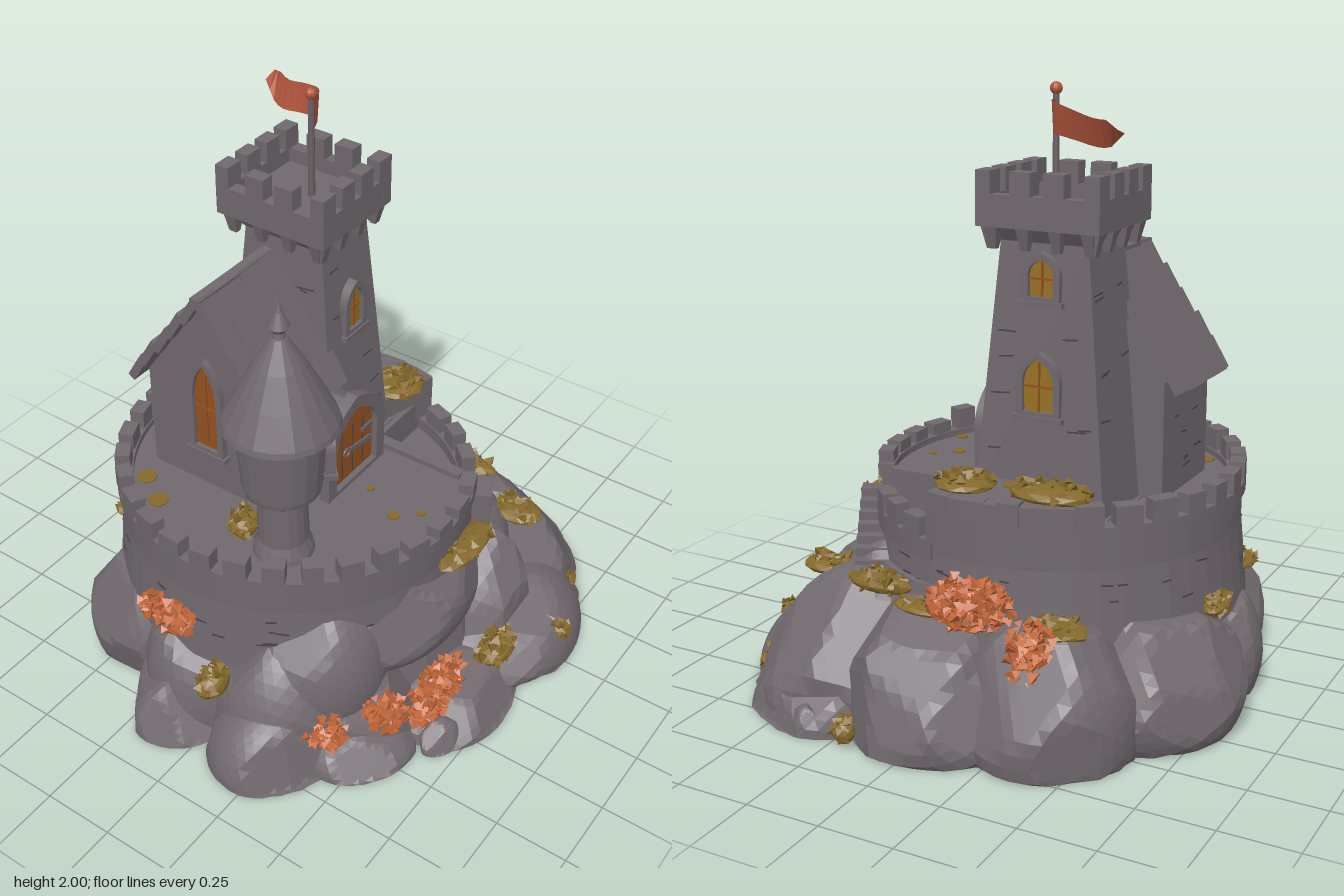
import * as THREE from 'three';
import { mergeGeometries } from 'three/addons/utils/BufferGeometryUtils.js';

const mat = (name, color, extra = {}) => {
  const m = new THREE.MeshStandardMaterial({ color, flatShading: true, ...extra });
  m.name = name;
  return m;
};

export function createModel() {
  const root = new THREE.Group();
  root.name = 'castleOnRock';
  const M = {
    rock: mat('rock grey', 0x716a6f), stone: mat('wall stone', 0x6f686d), roof: mat('roof tile', 0x6f686d),
    joint: mat('dark joint', 0x4a4448), wood: mat('door wood', 0x92501f), glass: mat('window amber', 0x987024),
    moss: mat('olive moss', 0x84692a, { side: THREE.DoubleSide }), leaf: mat('orange leaf', 0xc4683a, { side: THREE.DoubleSide }),
    flag: mat('flag red', 0xb0543c, { side: THREE.DoubleSide }), iron: mat('iron', 0x6a6064),
  };
  let seed = 11;
  const rnd = (a = 0, b = 1) => {
    seed = (seed * 16807) % 2147483647;
    return a + (b - a) * (seed / 2147483647);
  };
  const add = (name, geo, m, x = 0, y = 0, z = 0, ry = 0, parent = root) => {
    const o = new THREE.Mesh(geo, m);
    o.name = name;
    o.position.set(x, y, z);
    o.rotation.y = ry;
    parent.add(o);
    return o;
  };
  const group = (name, x, y, z, ry = 0, parent = root) => {
    const g = new THREE.Group();
    g.name = name;
    g.position.set(x, y, z);
    g.rotation.y = ry;
    parent.add(g);
    return g;
  };
  const box = (w, h, d) => new THREE.BoxGeometry(w, h, d);
  const cyl = (rt, rb, h, n = 16) => new THREE.CylinderGeometry(rt, rb, h, n);
  const extrude = (s, depth) => new THREE.ExtrudeGeometry(s, { depth, bevelEnabled: false, curveSegments: 40 });
  // Box standing on y = 0 whose top and bottom differ in size
  const taper = (wb, db, wt, dt, h) => {
    const g = box(1, h, 1), p = g.attributes.position;
    for (let i = 0; i < p.count; i++) {
      const top = p.getY(i) > 0;
      p.setXYZ(i, p.getX(i) * (top ? wt : wb), p.getY(i) + h / 2, p.getZ(i) * (top ? dt : db));
    }
    g.computeVertexNormals();
    return g;
  };

  // Rock: a core surrounded by spheres cut by random planes, flat on the ground
  const boulder = (x, z, rx, ry, rz, cy = 0) => {
    const g = new THREE.IcosahedronGeometry(1, 7), p = g.attributes.position, v = new THREE.Vector3();
    const cuts = Array.from({ length: 13 }, () => [
      new THREE.Vector3(rnd(-1, 1), rnd(-0.3, 1), rnd(-1, 1)).normalize(), rnd(0.82, 0.95)]);
    for (let i = 0; i < p.count; i++) {
      v.fromBufferAttribute(p, i).normalize();
      let r = 1.02;
      for (const [n, d] of cuts) if (v.dot(n) > 0.1) r = Math.min(r, d / v.dot(n));
      p.setXYZ(i, x + v.x * r * rx, Math.max(0, cy + v.y * r * ry), z + v.z * r * rz);
    }
    g.computeVertexNormals();
    add('boulder', g, M.rock);
  };
  add('rockCore', cyl(0.56, 0.64, 0.46, 20), M.rock, 0, 0.23, -0.05);
  [[0.56, 0.02, 0.32, 0.33, 0.34, 0.1], [0.49, -0.36, 0.31, 0.34, 0.28, 0.1], [0.2, -0.53, 0.33, 0.29, 0.33, 0.14],
    [-0.1, -0.53, 0.25, 0.3, 0.28, 0.13], [-0.41, -0.4, 0.3, 0.33, 0.3, 0.12], [-0.52, -0.12, 0.27, 0.37, 0.24, 0.08],
    [-0.64, -0.14, 0.25, 0.24, 0.2], [-0.5, 0.18, 0.28, 0.38, 0.25, 0.06], [-0.62, 0.22, 0.27, 0.24, 0.23],
    [-0.42, 0.24, 0.24, 0.3, 0.24, 0.26], [-0.36, 0.36, 0.27, 0.3, 0.22],
    [-0.44, 0.43, 0.24, 0.14, 0.2], [-0.1, 0.34, 0.37, 0.24, 0.25, 0.38], [-0.12, 0.58, 0.28, 0.15, 0.22],
    [0.48, 0.37, 0.33, 0.44, 0.32], [0.55, 0.4, 0.3, 0.24, 0.28], [0.22, 0.44, 0.29, 0.47, 0.26], [0.26, 0.58, 0.34, 0.24, 0.26],
    [0.3, 0.3, 0.22, 0.22, 0.22, 0.3], [0.2, 0.78, 0.07, 0.08, 0.06], [0.13, 0.74, 0.06, 0.07, 0.06],
    [0.8, 0.36, 0.05, 0.09, 0.06], [0.52, 0.66, 0.11, 0.09, 0.08], [-0.3, 0.66, 0.1, 0.09, 0.07],
  ].forEach(b => boulder(...b));

  // Round terrace: a drum, a raised floor with a lower front-right court, and battlements
  const CX = -0.065, CZ = -0.1, R = 0.61, A0 = -0.2485, A1 = 5.162;
  add('terraceDrum', cyl(R, 0.635, 0.26, 48), M.stone, CX, 0.43, CZ);
  const floor = new THREE.Shape();
  floor.absarc(0, 0, R, A0, A1, false);
  floor.lineTo(0.265, -0.15);
  floor.closePath();
  add('terraceFloor', extrude(floor, 0.12).rotateX(-Math.PI / 2), M.stone, CX, 0.56, CZ);
  const ringPart = (name, a, b, y, h, inner) => {
    const s = new THREE.Shape();
    s.absarc(0, 0, R + 0.012, a, b, false);
    s.absarc(0, 0, inner, b, a, true);
    s.closePath();
    add(name, extrude(s, h).rotateX(-Math.PI / 2), M.stone, CX, y, CZ);
  };
  ringPart('parapet', A0, A1, 0.66, 0.042, R - 0.045);
  ringPart('lowerParapet', -1.0, A0, 0.54, 0.065, R - 0.045);
  ringPart('planter', -0.28, 0.6, 0.6, 0.165, 0.38);
  for (let i = 0; i < 31; i++) {
    const a = (i / 31) * Math.PI * 2, low = a > 5.3 && a < 6.03, front = a > 4.3 && a < 5.1;
    if (a > 5.1 && a < 5.3) continue;
    const h = front ? 0.045 : rnd(0.066, 0.078);
    add('merlon', box(0.052, h, rnd(0.068, 0.088)), M.stone,
      CX + Math.cos(a) * (R - 0.014), (low ? 0.6 : 0.697) + h / 2, CZ - Math.sin(a) * (R - 0.014), a + rnd(-0.06, 0.06));
  }
  add('courtWall', box(0.04, 0.1, 0.36), M.stone, 0.2, 0.65, 0.22);

  // Steps descending along the outside of the terrace
  for (let i = 0; i < 7; i++)
    add('step', box(0.06, 0.2, 0.13), M.stone, 0.22 + i * 0.035, 0.53 - i * 0.028, 0.44 - i * 0.018, 0.47);

  // Thin dark joints between stones
  const joints = [];
  const joint = (x, y, z, ry, w = rnd(0.025, 0.07)) => joints.push(box(w, 0.005, 0.004)
    .rotateZ(rnd(-0.15, 0.15)).rotateY(ry).translate(x, y, z));
  for (let i = 0; i < 40; i++) {
    const a = rnd(0, 6.28), y = rnd(0.42, 0.55), r = 0.635 - 0.025 * (y - 0.3) / 0.26;
    joint(CX + Math.sin(a) * r, y, CZ + Math.cos(a) * r, a);
  }

  // Pointed windows: frame, pane and glazing bars, facing +z
  const arch = (S, w, h, y = 0) => {
    const s = new S();
    s.moveTo(-w / 2, y);
    s.lineTo(w / 2, y);
    s.lineTo(w / 2, y + h * 0.55);
    s.quadraticCurveTo(w / 2, y + h * 0.85, 0, y + h);
    s.quadraticCurveTo(-w / 2, y + h * 0.85, -w / 2, y + h * 0.55);
    s.closePath();
    return s;
  };
  const opening = (name, w, h, t, depth, pane, x, y, z, ry) => {
    const g = group(name, x, y, z, ry), s = arch(THREE.Shape, w, h);
    s.holes.push(arch(THREE.Path, w - 2 * t, h - 2 * t, t));
    add('frame', extrude(s, depth), M.stone, 0, 0, -0.012, 0, g);
    add('pane', extrude(arch(THREE.Shape, w - t, h - t, t / 2), 0.006), pane, 0, 0, 0.001, 0, g);
    return g;
  };
  const window_ = (w, h, x, y, z, ry, pane = M.glass) => {
    const g = opening('window', w, h, 0.022, 0.034, pane, x, y, z, ry);
    add('sill', box(w + 0.02, 0.018, 0.045), M.stone, 0, 0, 0.006, 0, g);
    add('bar', box(0.006, h * 0.75, 0.006), M.wood, 0, h * 0.48, 0.009, 0, g);
    add('bar', box(w - 0.03, 0.006, 0.006), M.wood, 0, h * 0.48, 0.009, 0, g);
  };

  // Hall with gable ends and overlapping roof tiles
  const gable = new THREE.Shape([[-0.25, 0], [0.25, 0], [0.25, 0.4], [0, 0.75], [-0.25, 0.4]]
    .map(p => new THREE.Vector2(...p)));
  add('hall', extrude(gable, 0.37).rotateY(Math.PI / 2), M.stone, -0.32, 0.67, -0.27);
  const pitch = Math.atan2(0.41, 0.31), slope = 0.49, rows = 5;
  for (const side of [0, 1]) {
    const turn = group('roofSlope', -0.16, 1.44, -0.27, side * Math.PI);
    const tilt = group('tiles', 0, 0, 0, 0, turn);
    tilt.rotation.x = pitch;
    for (let r = 0; r < rows; r++) {
      for (let x = -0.2; x < 0.19;) {
        const w = Math.min(rnd(0.07, 0.13), 0.2 - x), len = slope / rows + 0.022;
        const t = add('tile', box(w - 0.002, 0.03, len), M.roof, x + w / 2, rnd(-0.004, 0.004), (r + 0.5) * slope / rows + rnd(0, 0.01), 0, tilt);
        t.rotation.x = 0.11;
        x += w;
      }
    }
  }
  add('ridge', box(0.4, 0.025, 0.04), M.roof, -0.16, 1.442, -0.27);
  window_(0.14, 0.38, -0.322, 0.83, -0.27, -Math.PI / 2, M.wood);
  for (let i = 0; i < 9; i++) joint(rnd(-0.28, 0.0), rnd(0.74, 1.0), -0.52, 0);

  // Arched entrance
  add('porch', extrude(arch(THREE.Shape, 0.29, 0.32), 0.14), M.stone, -0.01, 0.68, -0.06);
  const door = opening('entrance', 0.33, 0.38, 0.046, 0.04, M.wood, -0.01, 0.65, 0.082, 0);
  for (const x of [-0.06, 0, 0.06]) add('plankGap', box(0.004, 0.2, 0.004), M.joint, x, 0.16, 0.008, 0, door);
  add('hinge', box(0.13, 0.018, 0.01), M.iron, 0.04, 0.15, 0.011, 0, door).rotation.z = -0.15;
  add('hinge', box(0.06, 0.014, 0.01), M.iron, 0.08, 0.2, 0.011, 0, door);
  add('doorRing', new THREE.TorusGeometry(0.016, 0.004, 6, 12), M.iron, -0.04, 0.16, 0.012, 0, door);

  // Square tower
  const TX = 0.15, TZ = -0.21, H = 0.86;
  add('towerBody', taper(0.34, 0.46, 0.25, 0.3, H), M.stone, TX, 0.67, TZ);
  add('towerFoot', box(0.37, 0.13, 0.48), M.stone, TX, 0.62, TZ);
  const halfX = y => 0.17 - 0.045 * (y - 0.67) / H, halfZ = y => 0.23 - 0.08 * (y - 0.67) / H;
  window_(0.12, 0.2, TX + 0.005, 1.15, TZ + halfZ(1.22), 0);
  window_(0.13, 0.16, TX + halfX(1.42), 1.34, TZ, Math.PI / 2);
  window_(0.15, 0.21, TX + halfX(1.06), 0.98, TZ, Math.PI / 2);
  for (let i = 0; i < 28; i++) {
    const y = rnd(0.78, 1.48), s = i % 2 ? 1 : -1, e = rnd(0.6, 0.9) * (rnd() > 0.5 ? 1 : -1);
    if (i % 4 < 2) joint(TX + e * (halfX(y) - 0.03), y, TZ + s * halfZ(y), 0);
    else joint(TX + s * halfX(y), y, TZ + e * (halfZ(y) - 0.03), Math.PI / 2);
  }
  add('crownFlare', taper(0.25, 0.3, 0.35, 0.39, 0.07), M.stone, TX - 0.01, 1.51, TZ);
  add('crownFloor', box(0.36, 0.05, 0.4), M.stone, TX - 0.01, 1.595, TZ);
  const crown = group('crown', TX - 0.01, 0, TZ);
  for (const s of [-1, 1]) {
    add('crownWall', box(0.38, 0.1, 0.045), M.stone, 0, 1.62, s * 0.187, 0, crown);
    add('crownWall', box(0.045, 0.1, 0.42), M.stone, s * 0.167, 1.62, 0, 0, crown);
    for (let i = 0; i < 4; i++) {
      const k = (i - 1.5) / 1.5;
      add('crownMerlon', box(0.068, 0.075, 0.05), M.stone, k * 0.155, 1.705, s * 0.185, 0, crown);
      if (i % 3) add('crownMerlon', box(0.05, 0.075, 0.07), M.stone, s * 0.165, 1.705, k * 0.17, 0, crown);
      add('corbel', taper(0.025, 0.02, 0.045, 0.06, 0.08), M.stone, k * 0.15, 1.5, s * 0.175, 0, crown);
      add('corbel', taper(0.02, 0.025, 0.06, 0.045, 0.08), M.stone, s * 0.155, 1.5, k * 0.165, 0, crown);
    }
  }

  // Flagpole and waving, tapering flag
  add('flagpole', cyl(0.01, 0.012, 0.38, 8), M.iron, 0.14, 1.79, -0.18);
  add('poleKnob', new THREE.SphereGeometry(0.02, 10, 8), M.flag, 0.14, 1.98, -0.18);
  const path = new THREE.CatmullRomCurve3([[0.14, 1.895, -0.18], [0.22, 1.9, -0.21], [0.255, 1.885, -0.29],
    [0.28, 1.865, -0.39], [0.34, 1.88, -0.49]].map(p => new THREE.Vector3(...p)));
  const cloth = new THREE.PlaneGeometry(1, 1, 14, 1), cp = cloth.attributes.position;
  for (let i = 0; i < cp.count; i++) {
    const u = cp.getX(i) + 0.5, q = path.getPoint(u), w = u > 0.85 ? 0.07 * (1 - u) / 0.15 + 0.015 : 0.105 - 0.023 * u;
    cp.setXYZ(i, q.x + cp.getY(i) * 0.05 * u, q.y + cp.getY(i) * w, q.z);
  }
  cloth.computeVertexNormals();
  add('flag', cloth, M.flag);

  // Round turret on a slim stem
  const lathe = pts => new THREE.LatheGeometry(pts.map(p => new THREE.Vector2(...p)), 18);
  const turret = group('turret', -0.43, 0, 0.11);
  add('turretBody', lathe([[0, 0.66], [0.105, 0.66], [0.1, 0.7], [0.085, 0.74], [0.08, 0.9], [0.125, 0.94],
    [0.13, 0.96], [0.15, 1.22], [0, 1.22]]), M.stone, 0, 0, 0, 0, turret);
  add('turretRoof', lathe([[0, 1.185], [0.19, 1.195], [0.185, 1.215], [0.135, 1.315], [0.08, 1.42], [0.025, 1.51], [0, 1.52]]),
    M.roof, 0, 0, 0, 0, turret);
  add('turretFinial', lathe([[0, 1.5], [0.022, 1.51], [0.018, 1.53], [0.035, 1.55], [0.012, 1.6], [0, 1.645]]), M.roof, 0, 0, 0, 0, turret);
  window_(0.11, 0.16, -0.43 + 0.099, 1.0, 0.11 + 0.099, Math.PI / 4);
  add('stoneJoints', mergeGeometries(joints), M.joint);

  // Shrubs: loose clusters of small leaf chips
  const bush = (name, m, x, y, z, rx, ry, rz, n) => {
    const chips = Array.from({ length: n }, () => {
      const v = new THREE.Vector3(rnd(-1, 1), rnd(-1, 1), rnd(-1, 1)).normalize().multiplyScalar(rnd(0.35, 1));
      return new THREE.TetrahedronGeometry(rnd(0.014, 0.026)).rotateX(rnd(0, 6)).rotateY(rnd(0, 6))
        .translate(x + v.x * rx, y + v.y * ry, z + v.z * rz);
    });
    add(name, mergeGeometries(chips), m);
  };
  [[-0.62, 0.16, 0.41, 0.07, 0.06, 0.07, 130], [-0.45, 0.18, 0.53, 0.08, 0.06, 0.08, 150], [-0.27, 0.19, 0.62, 0.16, 0.1, 0.06, 300],
    [-0.7, 0.44, -0.17, 0.06, 0.06, 0.13, 170], [0.62, 0.46, -0.13, 0.08, 0.09, 0.15, 360],
    [0.65, 0.35, -0.36, 0.07, 0.12, 0.08, 220]].forEach(b => bush('orangeShrub', M.leaf, ...b));
  // Olive shrubs grow on a flat cushion of moss
  [[0.02, 0.18, 0.68, 0.09, 0.05, 0.06, 110], [0.02, 0.57, 0.53, 0.15, 0.025, 0.06, 60], [0.41, 0.785, -0.3, 0.08, 0.04, 0.14, 110],
    [0.42, 0.78, -0.01, 0.1, 0.035, 0.1, 80], [0.44, 0.42, 0.5, 0.07, 0.035, 0.1, 70], [0.54, 0.44, 0.24, 0.05, 0.04, 0.12, 90],
    [0.57, 0.4, 0.05, 0.06, 0.025, 0.12, 40], [0.27, 0.13, 0.79, 0.04, 0.04, 0.05, 30], [0.52, 0.09, 0.68, 0.08, 0.03, 0.04, 40],
    [-0.5, 0.78, 0.0, 0.05, 0.05, 0.05, 70], [0.55, 0.41, -0.4, 0.08, 0.025, 0.1, 60], [0.1, 0.39, -0.74, 0.08, 0.03, 0.04, 50],
    [-0.74, 0.28, 0.04, 0.07, 0.06, 0.05, 50], [-0.3, 0.39, -0.67, 0.08, 0.03, 0.05, 45], [0.83, 0.06, 0.2, 0.03, 0.05, 0.04, 30],
    [0.03, 0.07, -0.74, 0.04, 0.05, 0.04, 30]].forEach(b => {
    const [x, y, z, rx, ry, rz] = b;
    bush('oliveShrub', M.moss, ...b);
    add('mossCushion', new THREE.IcosahedronGeometry(1, 1).scale(rx, ry * 0.8, rz), M.moss, x, y - ry * 0.2, z);
  });
  // Flat moss on the floors and planter
  [[-0.42, 0.683, -0.48, 0.036], [-0.49, 0.683, -0.37, 0.036], [-0.1, 0.683, 0.32, 0.022], [-0.26, 0.683, 0.4, 0.022],
    [-0.03, 0.683, 0.18, 0.014], [-0.04, 0.683, 0.39, 0.014], [0.27, 0.563, 0.16, 0.025], [0.27, 0.563, 0.29, 0.025],
    [0.36, 0.767, -0.14, 0.03]].forEach(([x, y, z, r], i) => add('mossPatch', cyl(r, r, 0.006, 7), M.moss, x, y, z, i));

  return root;
}
